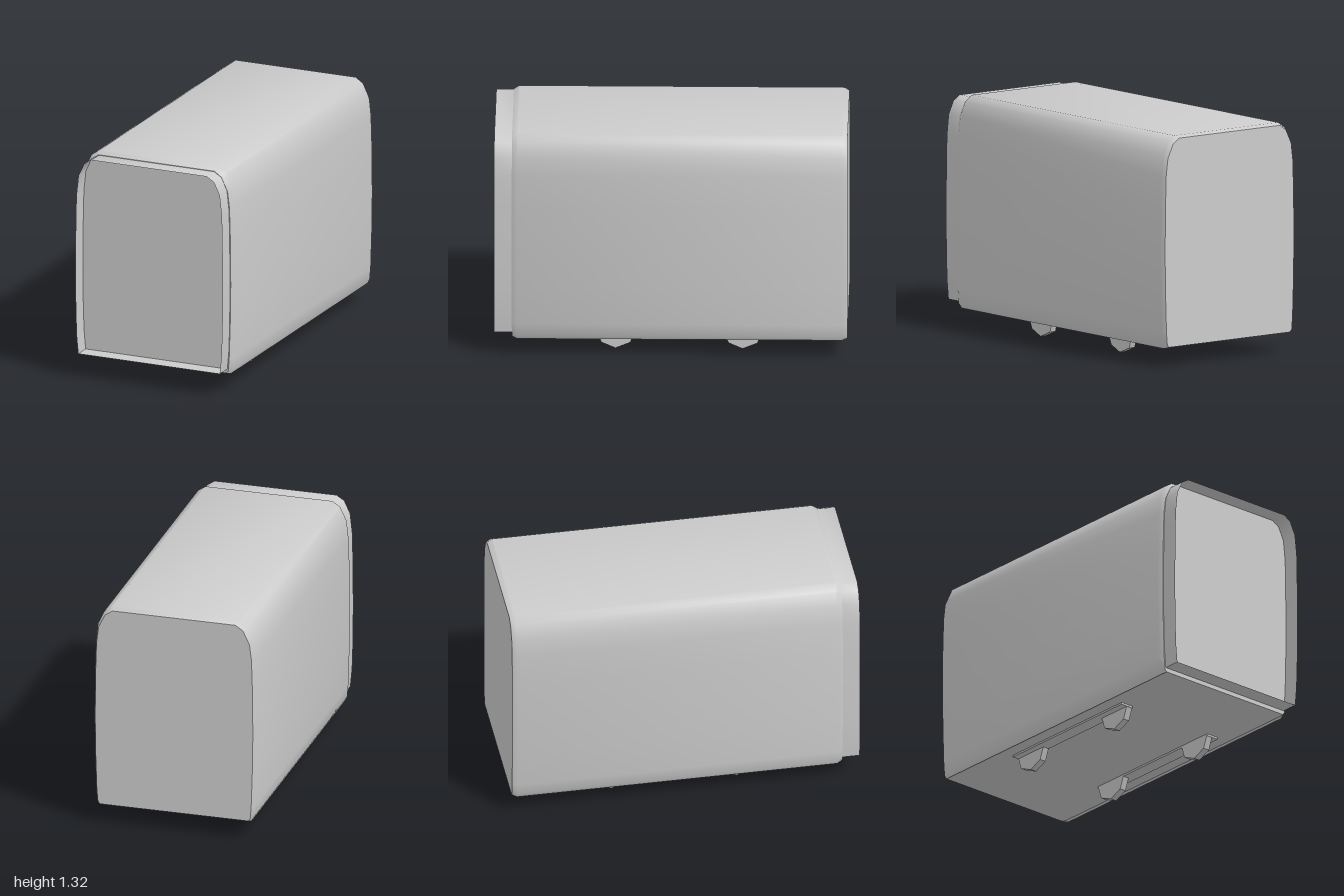
import * as THREE from 'three';
import { toCreasedNormals } from 'three/addons/utils/BufferGeometryUtils.js';

// Right half of the body section, from the floor edge up to the roof.
const HALF = [
  [0.44, 0.115], [0.45, 0.105], [0.462, 0.13], [0.468, 0.2], [0.475, 0.42], [0.478, 0.64],
  [0.476, 0.9], [0.47, 1.1], [0.458, 1.21], [0.42, 1.29], [0.375, 1.32],
];
// Right half of the collar section.
const COLLAR = [
  [0.442, 0.14], [0.452, 0.25], [0.457, 0.42], [0.459, 0.64], [0.457, 0.9],
  [0.453, 1.08], [0.44, 1.2], [0.405, 1.275], [0.36, 1.303],
];

const mirrored = (half) => [...half, ...half.map(([x, y]) => [-x, y]).reverse()];

// Shrinks a section for the bevelled ends.
const inset = (half, d) => half.map(([x, y]) => [x - d, y > 1.2 ? y - d : Math.max(y, 0.115)]);

// Skins a list of { z, points } sections, ordered back to front.
function loft(rings) {
  const n = rings[0].points.length;
  const positions = rings.flatMap(({ z, points }) => points.flatMap(([x, y]) => [x, y, z]));
  const index = [];
  for (let i = 0; i < rings.length - 1; i++) {
    for (let j = 0; j < n; j++) {
      const k = (j + 1) % n;
      const a = i * n + j, b = i * n + k, c = a + n, d = b + n;
      index.push(a, b, d, a, d, c);
    }
  }
  const geometry = new THREE.BufferGeometry();
  geometry.setAttribute('position', new THREE.Float32BufferAttribute(positions, 3));
  geometry.setIndex(index);
  return toCreasedNormals(geometry, 0.75);
}

const toShape = (points) => new THREE.Shape(points.map(([x, y]) => new THREE.Vector2(x, y)));

export function createModel() {
  const group = new THREE.Group();
  const grey = new THREE.MeshStandardMaterial({ name: 'grey', color: 0xcccccc });
  const greySheet = new THREE.MeshStandardMaterial({
    name: 'greySheet', color: 0xcccccc, side: THREE.DoubleSide,
  });

  const add = (name, geometry, material = grey) => {
    const mesh = new THREE.Mesh(geometry, material);
    mesh.name = name;
    group.add(mesh);
    return mesh;
  };

  // Long body shell with bevelled ends
  const full = mirrored(HALF);
  const front = mirrored(inset(HALF, 0.014));
  const back = mirrored(inset(HALF, 0.012));
  add('bodyShell', loft([
    { z: -1, points: back },
    { z: -0.97, points: full },
    { z: 0.87, points: full },
    { z: 0.9, points: front },
  ]));

  // Flat end walls
  add('frontWall', new THREE.ShapeGeometry(toShape(front))).position.z = 0.9;
  const backWall = add('backWall', new THREE.ShapeGeometry(toShape(back)));
  backWall.position.z = -1;
  backWall.rotation.y = Math.PI;

  // Open collar around the front wall
  const collar = mirrored(COLLAR);
  add('frontCollar', loft([{ z: 0.9, points: collar }, { z: 1, points: collar }]), greySheet);

  // Underside rails, each with two half-round feet
  const footProfile = [[-0.11, 0.112], [-0.08, 0.035], [0, 0], [0.085, 0.035], [0.11, 0.112]];
  const footGeometry = new THREE.ExtrudeGeometry(toShape(footProfile), {
    depth: 0.04, bevelEnabled: false,
  });
  footGeometry.translate(0, 0, -0.02).rotateY(Math.PI / 2);
  for (const side of [1, -1]) {
    const label = side > 0 ? 'left' : 'right';
    const rail = add(`${label}Rail`, new THREE.BoxGeometry(0.08, 0.012, 0.94));
    rail.position.set(side * 0.32, 0.11, -0.045);
    for (const [end, z] of [['Front', 0.315], ['Rear', -0.405]]) {
      add(`${label}${end}Foot`, footGeometry).position.set(side * 0.3, 0, z);
    }
  }

  return group;
}
